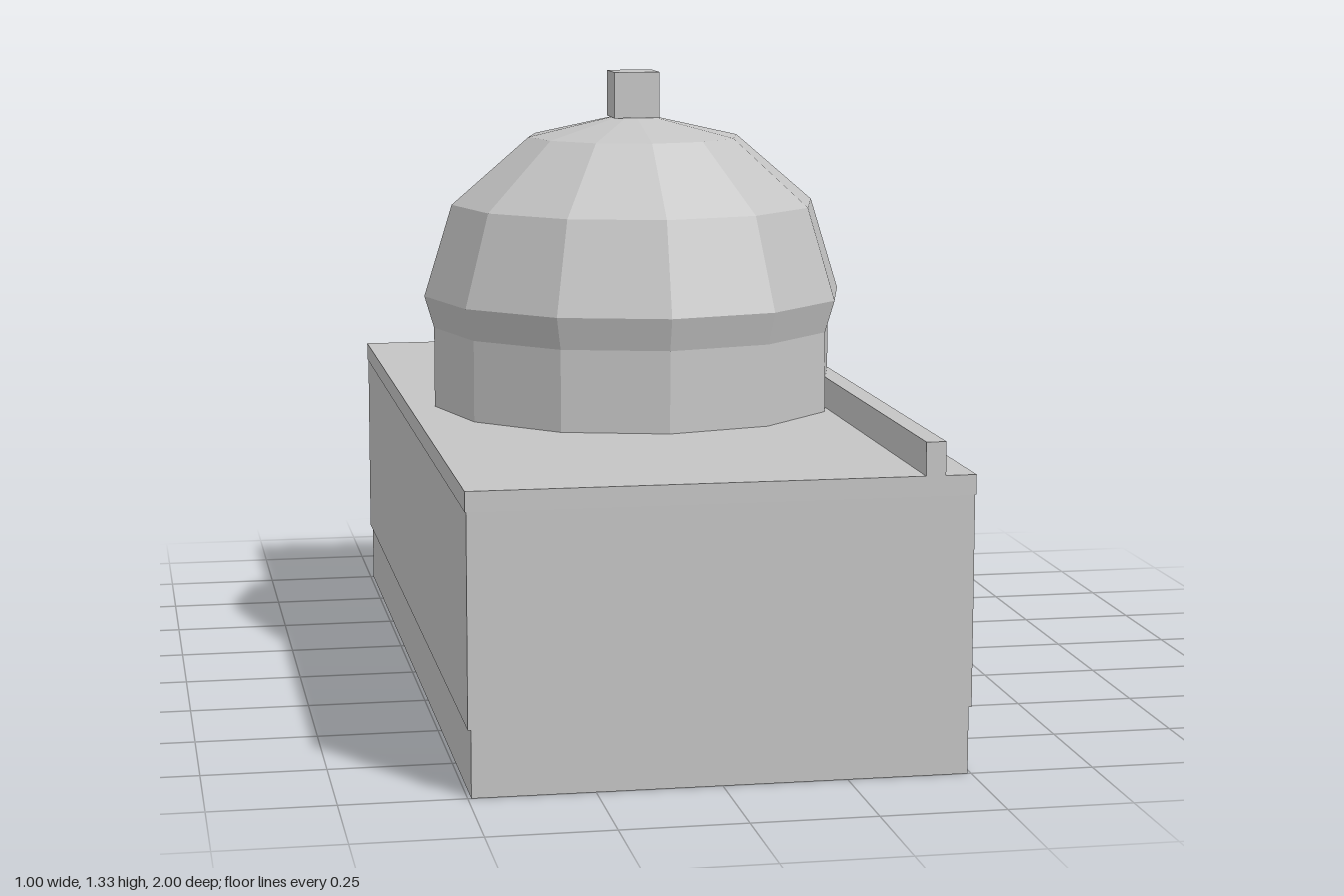
import * as THREE from 'three';

export function createModel() {
  const model = new THREE.Group();
  const grey = new THREE.MeshStandardMaterial({
    name: 'plainGrey', color: 0xc4c4c4, flatShading: true, side: THREE.DoubleSide,
  });

  const add = (name, geometry, x = 0, y = 0, z = 0) => {
    const mesh = new THREE.Mesh(geometry, grey);
    mesh.name = name;
    mesh.position.set(x, y, z);
    model.add(mesh);
    return mesh;
  };
  // Box given by its width, depth, bottom and top heights
  const block = (name, w, d, y0, y1, x = 0) =>
    add(name, new THREE.BoxGeometry(w, y1 - y0, d), x, (y0 + y1) / 2);

  // Base: body with a slim overhanging lip
  const skirtTop = 0.135;
  block('body', 0.998, 2, skirtTop, 0.56);
  block('lip', 1.003, 2, 0.56, 0.6);

  // Hollow skirt, open underneath, with walls of no thickness
  const halfWidth = 0.493;
  for (const s of [-1, 1]) {
    const side = add('skirtSide', new THREE.PlaneGeometry(2, skirtTop), s * halfWidth, skirtTop / 2, 0);
    side.rotation.y = s * Math.PI / 2;
    const end = add('skirtEnd', new THREE.PlaneGeometry(2 * halfWidth, skirtTop), 0, skirtTop / 2, s);
    end.rotation.y = s > 0 ? 0 : Math.PI;
  }

  // Rail along the left edge
  block('rail', 0.04, 2, 0.6, 0.667, 0.42);

  // Twelve-sided drum and dome
  const profile = [
    [0.444, 0.6], [0.444, 0.775], [0.465, 0.845], [0.403, 1.045], [0.2325, 1.191], [0, 1.244],
  ].map(([r, y]) => new THREE.Vector2(r, y));
  add('drum', new THREE.LatheGeometry(profile.slice(0, 2), 12));
  add('dome', new THREE.LatheGeometry(profile.slice(1), 12));

  // Cube on top of the dome
  block('finial', 0.1, 0.1, 1.233, 1.333);

  return model;
}
